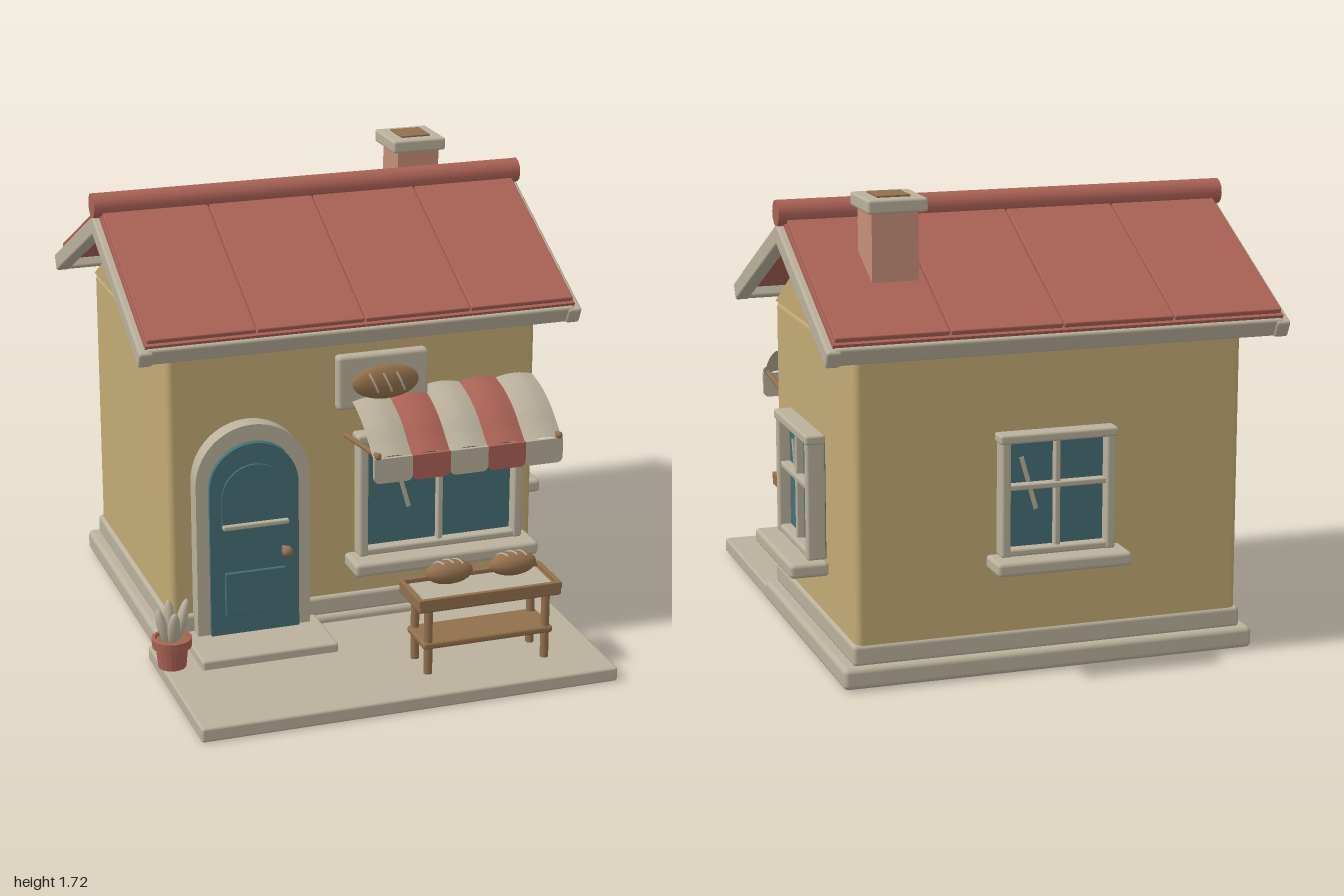
import * as THREE from 'three';
import { RoundedBoxGeometry } from 'three/addons/geometries/RoundedBoxGeometry.js';
import { ParametricGeometry } from 'three/addons/geometries/ParametricGeometry.js';

const mat = (name, color, side = THREE.FrontSide) => {
  const m = new THREE.MeshStandardMaterial({ color, side });
  m.name = name;
  return m;
};

export function createModel() {
  const root = new THREE.Group();
  root.name = 'bakery';
  const wall = mat('ochre wall', 0xc2aa74);
  const cream = mat('cream stone', 0xbab19c, THREE.DoubleSide);
  const red = mat('brick red', 0xab6256, THREE.DoubleSide);
  const teal = mat('teal', 0x447076);
  const brown = mat('brown wood', 0x92704c);
  const clay = mat('chimney clay', 0xc68f78);

  const add = (parent, name, geo, m, x = 0, y = 0, z = 0) => {
    const mesh = new THREE.Mesh(geo, m);
    mesh.name = name;
    mesh.position.set(x, y, z);
    parent.add(mesh);
    return mesh;
  };
  const group = (parent, name, x = 0, y = 0, z = 0) => {
    const g = new THREE.Group();
    g.name = name;
    g.position.set(x, y, z);
    parent.add(g);
    return g;
  };
  // Box given by its minimum and maximum corners, with softened edges
  const box = (parent, name, m, [x0, x1], [y0, y1], [z0, z1], r = 0.01) => {
    const w = x1 - x0, h = y1 - y0, d = z1 - z0;
    const geo = r ? new RoundedBoxGeometry(w, h, d, 2, Math.min(r, Math.min(w, h, d) * 0.45))
      : new THREE.BoxGeometry(w, h, d);
    return add(parent, name, geo, m, (x0 + x1) / 2, (y0 + y1) / 2, (z0 + z1) / 2);
  };
  const rod = (parent, name, m, a, b, r) => {
    const p = new THREE.Vector3(...a), q = new THREE.Vector3(...b), d = q.clone().sub(p);
    const mesh = add(parent, name, new THREE.CylinderGeometry(r, r, d.length(), 12), m);
    mesh.position.copy(p).add(q).multiplyScalar(0.5);
    mesh.quaternion.setFromUnitVectors(new THREE.Vector3(0, 1, 0), d.normalize());
    return mesh;
  };
  const extrude = (shape, depth) =>
    new THREE.ExtrudeGeometry(shape, { depth, bevelEnabled: false, curveSegments: 16 });

  // Ground and house body
  box(root, 'paving', cream, [-0.84, 0.75], [0, 0.055], [0.26, 1]);
  box(root, 'foundation', cream, [-0.8, 0.76], [0.005, 0.085], [-0.866, 0.28], 0.02);
  box(root, 'plinth', cream, [-0.76, 0.717], [0.08, 0.158], [-0.837, 0.265], 0.015);
  box(root, 'walls', wall, [-0.745, 0.705], [0.1, 1.2], [-0.83, 0.25], 0.025);
  const tri = new THREE.Shape();
  tri.moveTo(-0.54, 0); tri.lineTo(0.54, 0); tri.lineTo(0, 0.31);
  add(root, 'gable', extrude(tri, 1.45), wall, -0.745, 1.195, -0.29).rotation.y = Math.PI / 2;

  // Roof: two mirrored slopes, local +z runs down the slope
  const roof = group(root, 'roof', -0.02, 1.58, -0.29);
  for (const turn of [0, Math.PI]) {
    const side = group(roof, 'roofSide');
    side.rotation.y = turn;
    const slope = group(side, 'roofSlope');
    slope.rotation.x = 0.458;
    box(slope, 'roofDeck', red, [-0.83, 0.83], [-0.03, 0.016], [0, 0.735], 0);
    for (let i = 0; i < 4; i++) {
      const x = -0.826 + i * 0.413;
      box(slope, 'roofPanel', red, [x + 0.003, x + 0.41], [0.016, 0.036], [0, 0.725], 0.005);
    }
    for (const s of [-1, 1]) {
      box(slope, 'bargeboard', cream, [s * 0.829 - 0.027, s * 0.829 + 0.027], [-0.067, 0], [-0.01, 0.758]);
    }
    box(slope, 'eaveBoard', cream, [-0.83, 0.83], [-0.067, 0.004], [0.715, 0.75]);
  }
  rod(root, 'ridge', red, [-0.875, 1.62, -0.29], [0.835, 1.62, -0.29], 0.048);

  // Chimney
  box(root, 'chimneyShaft', clay, [0.425, 0.595], [1.35, 1.68], [-0.69, -0.515], 0);
  box(root, 'chimneyCap', cream, [0.4, 0.618], [1.668, 1.718], [-0.725, -0.495]);
  box(root, 'chimneyOpening', brown, [0.45, 0.57], [1.715, 1.724], [-0.675, -0.545], 0);

  // Window in local space: sill bottom at y = 0, wall at z = 0, facing +z
  const makeWindow = (name, w, h, bars, glintX, x, y, z) => {
    const g = group(root, name, x, y, z);
    const a = w / 2, y0 = 0.05, y1 = 0.05 + h;
    box(g, 'sill', cream, [-a - 0.04, a + 0.04], [0, 0.053], [0.025, 0.17], 0.015);
    box(g, 'glass', teal, [-a + 0.02, a - 0.02], [y0, y1 - 0.015], [0.02, 0.05], 0);
    for (const s of [-1, 1]) box(g, 'frameSide', cream, [s * (a - 0.018) - 0.018, s * (a - 0.018) + 0.018], [y0, y1], [0.025, 0.095]);
    box(g, 'frameTop', cream, [-a - 0.008, a + 0.008], [y1 - 0.036, y1], [0.025, 0.1]);
    box(g, 'frameBottom', cream, [-a + 0.01, a - 0.01], [y0, y0 + 0.03], [0.025, 0.09]);
    box(g, 'mullion', cream, [-0.011, 0.011], [y0, y1 - 0.02], [0.04, 0.078], 0.006);
    if (bars) box(g, 'crossBar', cream, [-a + 0.02, a - 0.02], [0.3, 0.322], [0.04, 0.085], 0.006);
    const glint = box(g, 'glint', cream, [-0.008, 0.008], [-0.104, 0.104], [0.05, 0.055], 0);
    glint.position.set(glintX, 0.318, 0.053);
    glint.rotation.z = 0.28;
    return g;
  };
  makeWindow('shopWindow', 0.66, 0.49, false, -0.148, 0.3, 0.285, 0.25);
  makeWindow('sideWindow', 0.445, 0.465, true, -0.105, 0.705, 0.342, -0.315).rotation.y = Math.PI / 2;
  const backWindow = makeWindow('backWindow', 0.445, 0.465, true, -0.105, -0.018, 0.406, -0.83);
  backWindow.rotation.y = Math.PI;
  backWindow.scale.setScalar(0.96);

  // Arched door, frame and step
  const arch = (r, y0, yc) => {
    const s = new THREE.Shape();
    s.moveTo(-r, y0); s.lineTo(-r, yc);
    s.absarc(0, yc, r, Math.PI, 0, true);
    s.lineTo(r, y0);
    return s;
  };
  const door = group(root, 'door', -0.44, 0, 0.24);
  const surround = arch(0.22, 0.085, 0.69);
  surround.lineTo(0.172, 0.085); surround.lineTo(0.172, 0.675);
  surround.absarc(0, 0.675, 0.172, 0, Math.PI, false);
  surround.lineTo(-0.172, 0.085);
  add(door, 'doorFrame', extrude(surround, 0.08), cream);
  add(door, 'doorLeaf', extrude(arch(0.172, 0.085, 0.67), 0.095), teal);
  add(door, 'upperPanel', extrude(arch(0.127, 0.52, 0.635), 0.009), teal, 0, 0, 0.095);
  box(door, 'lowerPanel', teal, [-0.118, 0.118], [0.165, 0.34], [0.09, 0.105], 0.005);
  box(door, 'doorBar', cream, [-0.128, 0.128], [0.517, 0.536], [0.1, 0.122], 0.006);
  add(door, 'doorKnob', new THREE.SphereGeometry(0.022, 16, 12), brown, 0.113, 0.415, 0.14);
  rod(door, 'knobStem', brown, [0.113, 0.415, 0.09], [0.113, 0.415, 0.14], 0.009);
  box(root, 'doorStep', cream, [-0.705, -0.18], [0.04, 0.09], [0.25, 0.54]);

  // Striped awning with rounded valance flaps
  const awning = group(root, 'awning');
  const curve = new THREE.CatmullRomCurve3([[0.985, 0.31], [0.965, 0.4], [0.917, 0.5], [0.86, 0.57], [0.828, 0.61]]
    .map(([y, z]) => new THREE.Vector3(0, y, z)));
  const sw = 0.148, fr = 0.022;
  const flap = new THREE.Shape();
  flap.moveTo(0, 0.095); flap.lineTo(0, fr);
  flap.absarc(fr, fr, fr, Math.PI, Math.PI * 1.5, false);
  flap.absarc(sw - fr, fr, fr, Math.PI * 1.5, Math.PI * 2, false);
  flap.lineTo(sw, 0.095);
  for (let i = 0; i < 5; i++) {
    const x0 = -0.07 + i * sw, m = i % 2 ? red : cream;
    const sheet = new ParametricGeometry((u, v, p) => {
      curve.getPoint(1 - v, p);
      const bulge = 0.012 * Math.sin(Math.PI * u);
      p.set(x0 + u * sw, p.y + bulge, p.z + bulge * 0.4);
    }, 8, 12);
    add(awning, 'awningStripe', sheet, m);
    add(awning, 'awningFlap', extrude(flap, 0.016), m, x0, 0.738, 0.605);
  }
  for (const x of [-0.055, 0.655]) {
    rod(awning, 'awningArm', brown, [x, 0.843, 0.61], [x, 0.802, 0.26], 0.01);
    add(awning, 'armEnd', new THREE.SphereGeometry(0.014, 10, 8), brown, x, 0.843, 0.615);
  }

  // Loaf with three scored cuts across its +y side
  const loaf = (parent, x, y, z, rx, ry, rz) => {
    const g = group(parent, 'loaf', x, y, z);
    add(g, 'crust', new THREE.SphereGeometry(1, 24, 16), brown).scale.set(rx, ry, rz);
    for (const c of [-0.4, 0, 0.4]) {
      const pts = [-0.5, -0.25, 0, 0.25, 0.5].map(t => {
        const u = c + t * 0.25 - 0.02, w = t * 1.1 - 0.1;
        return new THREE.Vector3(u * rx, Math.sqrt(1 - u * u - w * w) * ry, w * rz);
      });
      add(g, 'score', new THREE.TubeGeometry(new THREE.CatmullRomCurve3(pts), 8, 0.0045, 6), cream);
    }
    return g;
  };

  // Hanging sign
  box(root, 'signBoard', cream, [-0.125, 0.23], [0.94, 1.15], [0.32, 0.37], 0.015);
  loaf(root, 0.055, 1.045, 0.385, 0.13, 0.036, 0.066).rotation.x = Math.PI / 2;

  // Display table
  const table = group(root, 'table');
  box(table, 'tableTop', brown, [0.02, 0.58], [0.308, 0.345], [0.64, 0.855]);
  box(table, 'tray', cream, [0.05, 0.552], [0.343, 0.351], [0.668, 0.825], 0);
  for (const z of [0.647, 0.848]) box(table, 'trayRim', brown, [0.02, 0.58], [0.335, 0.362], [z - 0.008, z + 0.008], 0.004);
  for (const x of [0.028, 0.572]) box(table, 'trayRim', brown, [x - 0.008, x + 0.008], [0.335, 0.362], [0.64, 0.855], 0.004);
  box(table, 'shelf', brown, [0.045, 0.555], [0.155, 0.182], [0.66, 0.84]);
  for (const x of [0.07, 0.53]) for (const z of [0.68, 0.82]) {
    rod(table, 'tableLeg', brown, [x, 0.05, z], [x, 0.32, z], 0.016);
  }
  for (const x of [0.175, 0.425]) loaf(table, x, 0.415, 0.75, 0.092, 0.045, 0.045);

  // Potted plant
  const pot = group(root, 'pottedPlant', -0.8, 0.055, 0.46);
  const profile = [[0, 0], [0.052, 0], [0.06, 0.078], [0.073, 0.08], [0.075, 0.115], [0.062, 0.117], [0.058, 0.1], [0, 0.1]];
  const potGeo = new THREE.LatheGeometry(profile.map(([x, y]) => new THREE.Vector2(x, y)), 20).toNonIndexed();
  potGeo.computeVertexNormals();
  add(pot, 'pot', potGeo, red);
  add(pot, 'soil', new THREE.CylinderGeometry(0.057, 0.057, 0.006, 20), brown, 0, 0.104, 0);
  for (let i = 0; i < 5; i++) {
    const stem = group(pot, 'leafStem', 0, 0.09, 0);
    stem.rotation.y = i * Math.PI / 2;
    const leaf = group(stem, 'leafTilt', i < 4 ? 0.015 : 0, 0, 0);
    leaf.rotation.z = i === 4 ? 0.06 : -0.26;
    const tall = i === 4 || i === 0 ? 0.088 : 0.072;
    add(leaf, 'leaf', new THREE.SphereGeometry(1, 12, 10), cream, 0, tall, 0).scale.set(0.02, tall, 0.024);
  }
  return root;
}
